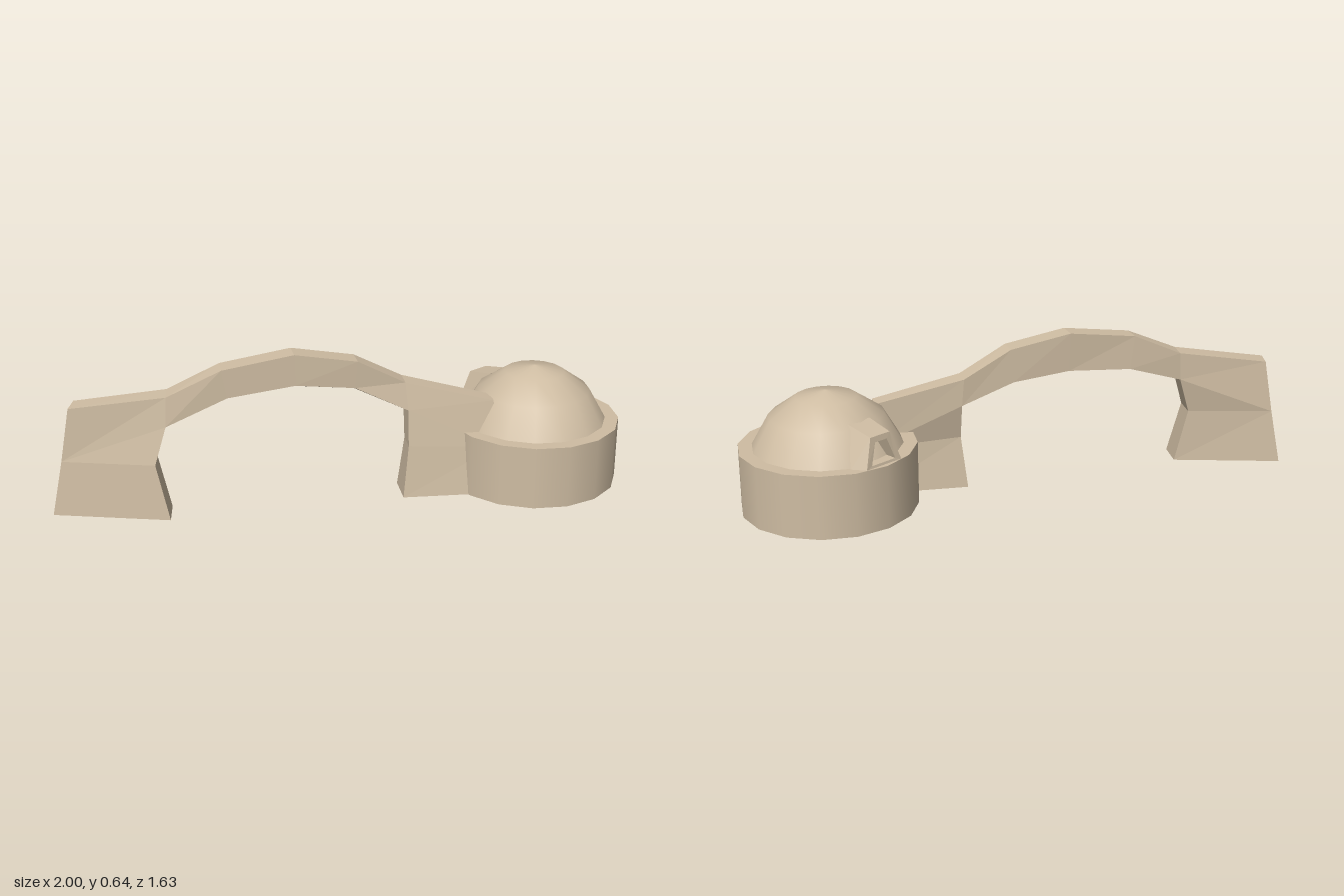
import * as THREE from 'three';

// Flat-faced geometry from a list of three- or four-cornered faces
function faces(list) {
  const pos = [];
  for (const f of list) {
    for (let i = 1; i < f.length - 1; i++) {
      for (const v of [f[0], f[i], f[i + 1]]) pos.push(v.x, v.y, v.z);
    }
  }
  const g = new THREE.BufferGeometry();
  g.setAttribute('position', new THREE.Float32BufferAttribute(pos, 3));
  g.computeVertexNormals();
  return g;
}

// Centre point of the wall, split into a front and a back corner
function station(x, y, z, half, nx, tilt = 0) {
  const nz = Math.sqrt(1 - nx * nx);
  return [1, -1].map((s) => new THREE.Vector3(x + s * half * nx, y + s * tilt, z + s * half * nz));
}

export function createModel() {
  const model = new THREE.Group();
  const sandstone = new THREE.MeshStandardMaterial({ color: 0xcfbda3, side: THREE.DoubleSide });
  sandstone.name = 'sandstone';
  const add = (name, geometry, parent) => {
    const mesh = new THREE.Mesh(geometry, sandstone);
    mesh.name = name;
    parent.add(mesh);
    return mesh;
  };

  // Arched wall: upper edge, underside, and the corners of the two legs
  const top = [
    station(-0.90, 0.455, 0.71, 0.045, 0.38),
    station(-0.555, 0.505, 0.54, 0.048, 0.5),
    station(-0.385, 0.60, 0.405, 0.045, 0.6),
    station(-0.16, 0.64, 0.215, 0.045, 0.62),
    station(0.045, 0.593, 0.055, 0.045, 0.62),
    station(0.20, 0.485, -0.075, 0.045, 0.58),
    station(0.52, 0.395, -0.26, 0.038, 0.55),
  ];
  const under = [
    station(-0.555, 0.385, 0.55, 0.055, 0.5),
    station(-0.37, 0.47, 0.39, 0.05, 0.6, 0.012),
    station(-0.155, 0.493, 0.215, 0.045, 0.62, 0.017),
    station(0.035, 0.465, 0.06, 0.045, 0.62, 0.014),
    station(0.215, 0.37, -0.07, 0.055, 0.58),
  ];
  const leftLeg = {
    outer: [station(-0.935, 0.23, 0.725, 0.056, 0.36), station(-0.975, 0, 0.743, 0.072, 0.35)],
    inner: [station(-0.585, 0.23, 0.592, 0.057, 0.5), station(-0.53, 0, 0.582, 0.066, 0.5)],
  };
  const rightLeg = {
    outer: [station(0.54, 0.2, -0.25, 0.05, 0.56), station(0.56, 0, -0.25, 0.07, 0.56)],
    inner: [station(0.232, 0.22, -0.045, 0.048, 0.58), station(0.213, 0, -0.03, 0.073, 0.58)],
  };

  const side = [];
  for (let i = 0; i < 4; i++) side.push([under[i], under[i + 1], top[i + 2], top[i + 1]]);
  const { outer: lo, inner: li } = leftLeg;
  const { outer: ro, inner: ri } = rightLeg;
  side.push(
    [lo[0], under[0], top[1], top[0]], [lo[0], li[0], under[0]], [lo[1], li[1], li[0], lo[0]],
    [under[4], ro[0], top[6], top[5]], [ri[0], ro[0], under[4]], [ri[1], ro[1], ro[0], ri[0]],
  );
  const arch = new THREE.Group();
  arch.name = 'archedWall';
  model.add(arch);
  add('archFront', faces(side.map((f) => f.map((s) => s[0]))), arch);
  add('archBack', faces(side.map((f) => f.map((s) => s[1]).reverse())), arch);

  // Strips joining the front and back of the wall
  const strip = (line) => faces(line.slice(1).map((b, i) => [line[i][0], b[0], b[1], line[i][1]]));
  add('archTop', strip(top), arch);
  add('archUnderside', strip([ri[1], ri[0], ...under.slice().reverse(), li[0], li[1]]), arch);

  // Round house with a ledge around the dome, open below
  const house = new THREE.Group();
  house.name = 'domedHouse';
  house.position.set(0.635, 0, -0.45);
  model.add(house);
  const lathe = (points) => new THREE.LatheGeometry(points.map(([r, y]) => new THREE.Vector2(r, y)), 16);
  add('roundWall', lathe([[0.365, 0], [0.365, 0.265]]), house);
  add('ledge', lathe([[0.365, 0.265], [0.308, 0.265]]), house);
  add('dome', lathe([[0.308, 0.265], [0.235, 0.392], [0.125, 0.468], [0, 0.495]]), house);

  // Dormer: local x runs outwards from the dome
  const ring = (d0, w0, y0, d1, w1, y1) => [
    new THREE.Vector3(d0, y0, w0), new THREE.Vector3(d0, y0, -w0),
    new THREE.Vector3(d1, y1, -w1), new THREE.Vector3(d1, y1, w1),
  ];
  const rings = [
    ring(0.29, 0.125, 0.262, 0.20, 0.055, 0.41),
    ring(0.345, 0.09, 0.262, 0.325, 0.05, 0.385),
    ring(0.342, 0.06, 0.275, 0.329, 0.03, 0.362),
    ring(0.23, 0.06, 0.275, 0.21, 0.03, 0.362),
  ];
  const shell = [];
  for (let r = 0; r < 3; r++) {
    for (let i = 0; i < 4; i++) {
      const j = (i + 1) % 4;
      shell.push([rings[r][i], rings[r + 1][i], rings[r + 1][j], rings[r][j]]);
    }
  }
  // Corners wind so that the outside faces outwards
  const dormer = add('dormerWindow', faces(shell.map((f) => f.reverse())), house);
  dormer.rotation.y = Math.PI - Math.PI / 8;

  return model;
}
